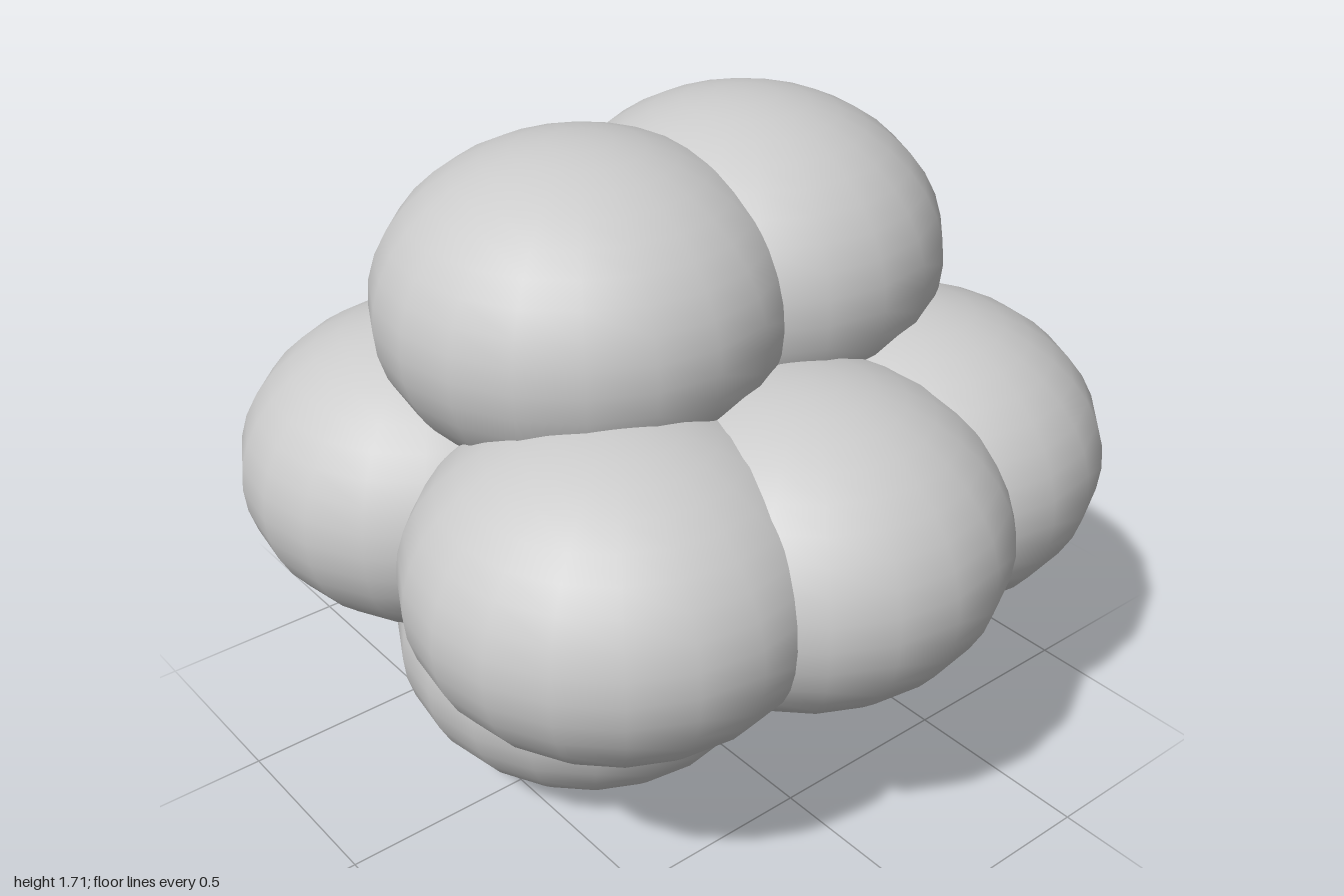
import * as THREE from 'three';

const RADIUS = 0.5;      // horizontal radius of every lobe
const HALF_HEIGHT = 0.393; // lobes are flattened vertically

export function createModel() {
  const model = new THREE.Group();
  model.name = 'lobeCluster';
  const material = new THREE.MeshStandardMaterial({ color: 0xcccccc });
  const lobeShape = new THREE.SphereGeometry(RADIUS, 20, 20);
  lobeShape.scale(1, HALF_HEIGHT / RADIUS, 1);

  // One tier of overlapping lobes at a shared height: [name, x, z]
  function addTier(tierName, y, lobes) {
    const tier = new THREE.Group();
    tier.name = tierName;
    tier.position.y = y;
    for (const [name, x, z] of lobes) {
      const lobe = new THREE.Mesh(lobeShape, material);
      lobe.name = name;
      lobe.position.set(x, 0, z);
      tier.add(lobe);
    }
    model.add(tier);
  }

  // Matching pairs above and below
  const pair = [['rightLobe', -0.242, -0.022], ['leftLobe', 0.255, -0.022]];
  addTier('topPair', 1.317, pair);
  addTier('bottomPair', 0.398, pair);

  // Ring of six lobes round the middle
  addTier('middleRing', 0.843, [
    ['frontLobe', 0, 0.495],
    ['backLobe', 0, -0.5],
    ['frontRightLobe', -0.447, 0.368],
    ['frontLeftLobe', 0.463, 0.368],
    ['backRightLobe', -0.47, -0.325],
    ['backLeftLobe', 0.463, -0.325],
  ]);

  return model;
}
